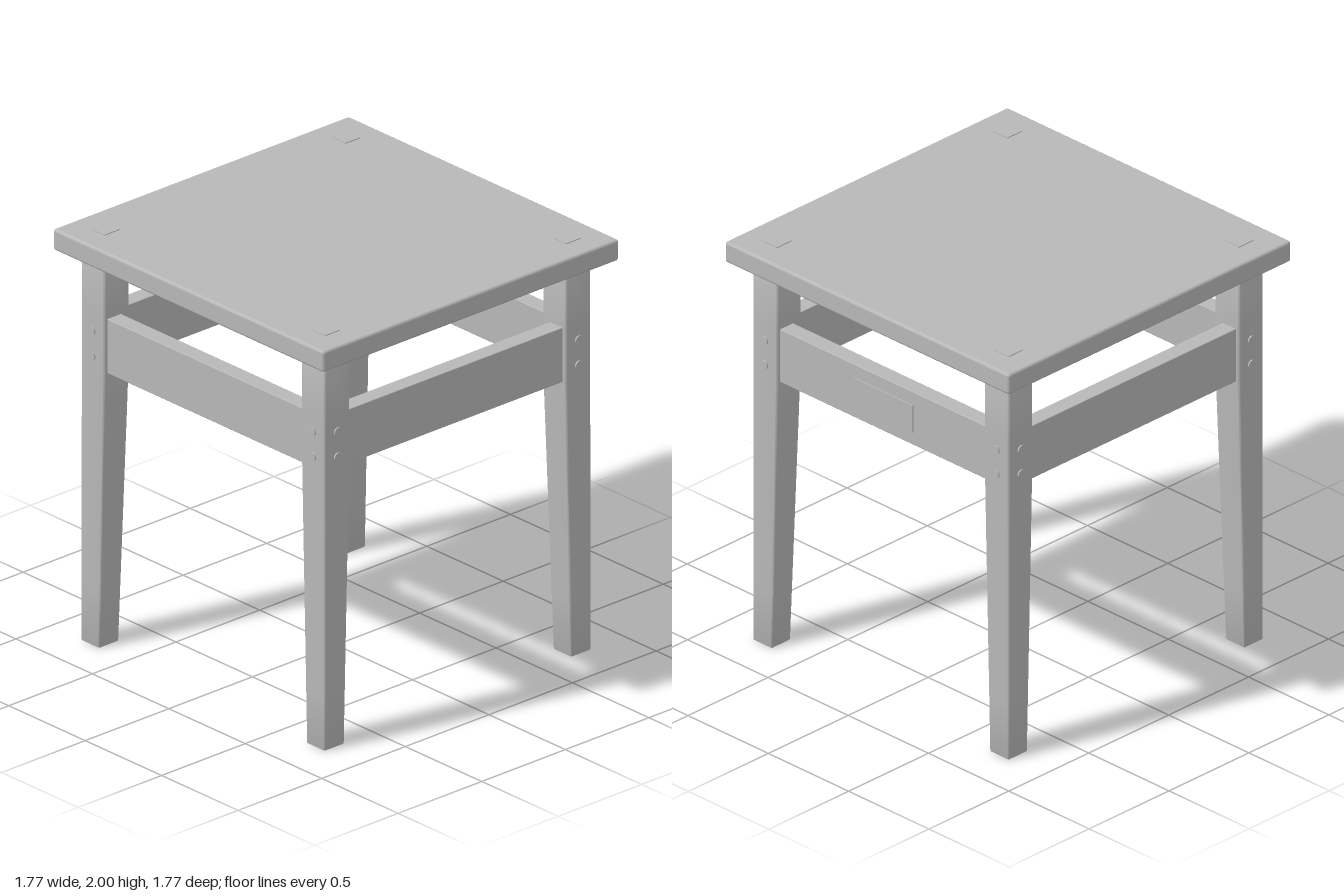
import * as THREE from 'three';
import { RoundedBoxGeometry } from 'three/addons/geometries/RoundedBoxGeometry.js';
import { toCreasedNormals } from 'three/addons/utils/BufferGeometryUtils.js';

const OUTER = 0.797, INNER = 0.645;   // leg faces, measured from the centre
const LEG_MID = (OUTER + INNER) / 2;
const LEG_TOP = 1.893, RAIL_BOTTOM = 1.34, RAIL_TOP = 1.605;

// Square leg with softened edges; its two inner faces taper below the rail.
function legGeometry() {
  const w = OUTER - INNER, b = 0.006, h = w / 2 - b, r = 0.004;
  const s = new THREE.Shape();
  s.moveTo(-h + r, -h).lineTo(h - r, -h).quadraticCurveTo(h, -h, h, -h + r);
  s.lineTo(h, h - r).quadraticCurveTo(h, h, h - r, h);
  s.lineTo(-h + r, h).quadraticCurveTo(-h, h, -h, h - r);
  s.lineTo(-h, -h + r).quadraticCurveTo(-h, -h, -h + r, -h);
  const geo = new THREE.ExtrudeGeometry(s, {
    depth: LEG_TOP - 2 * b, steps: 7, curveSegments: 3,
    bevelEnabled: true, bevelThickness: b, bevelSize: b, bevelSegments: 2,
  });
  geo.rotateX(-Math.PI / 2);
  geo.translate(LEG_MID, b, LEG_MID);
  const p = geo.attributes.position;
  for (let i = 0; i < p.count; i++) {
    const k = 1 - 0.22 * Math.max(0, 1 - p.getY(i) / RAIL_BOTTOM);
    p.setX(i, OUTER - (OUTER - p.getX(i)) * k);
    p.setZ(i, OUTER - (OUTER - p.getZ(i)) * k);
  }
  return toCreasedNormals(geo, 0.7);
}

export function createModel() {
  const model = new THREE.Group();
  model.name = 'stool';
  const grey = new THREE.MeshStandardMaterial({ color: 0xb8b8b8 });
  grey.name = 'plain grey';

  const add = (parent, name, geo, x, y, z) => {
    const mesh = new THREE.Mesh(geo, grey);
    mesh.name = name;
    mesh.position.set(x, y, z);
    parent.add(mesh);
    return mesh;
  };

  // Seat board
  add(model, 'seat', new RoundedBoxGeometry(1.77, 0.103, 1.77, 3, 0.014), 0, 1.9445, 0);

  const leg = legGeometry();
  const rail = new RoundedBoxGeometry(2 * INNER + 0.01, RAIL_TOP - RAIL_BOTTOM, 0.083, 2, 0.004);
  const tenon = new THREE.BoxGeometry(0.09, 0.02, 0.09);
  const peg = new THREE.CylinderGeometry(0.02, 0.02, 0.03, 20);

  // One corner and one rail, turned to all four sides
  for (let i = 0; i < 4; i++) {
    const side = new THREE.Group();
    side.name = 'side' + (i + 1);
    side.rotation.y = i * Math.PI / 2;
    model.add(side);
    add(side, 'leg', leg, 0, 0, 0);
    add(side, 'rail', rail, 0, (RAIL_TOP + RAIL_BOTTOM) / 2, 0.736);
    add(side, 'seatTenon', tenon, LEG_MID, 1.99, LEG_MID);
    // Round pegs through both outer faces of the leg
    for (const y of [1.53, 1.408]) {
      add(side, 'frontPeg', peg, LEG_MID, y, 0.789).rotation.x = Math.PI / 2;
      add(side, 'sidePeg', peg, 0.789, y, LEG_MID).rotation.z = -Math.PI / 2;
    }
  }

  // Blank plate on the back rail
  add(model, 'backPlate', new THREE.BoxGeometry(0.37, 0.135, 0.008), 0, 1.472, -0.779);
  return model;
}
